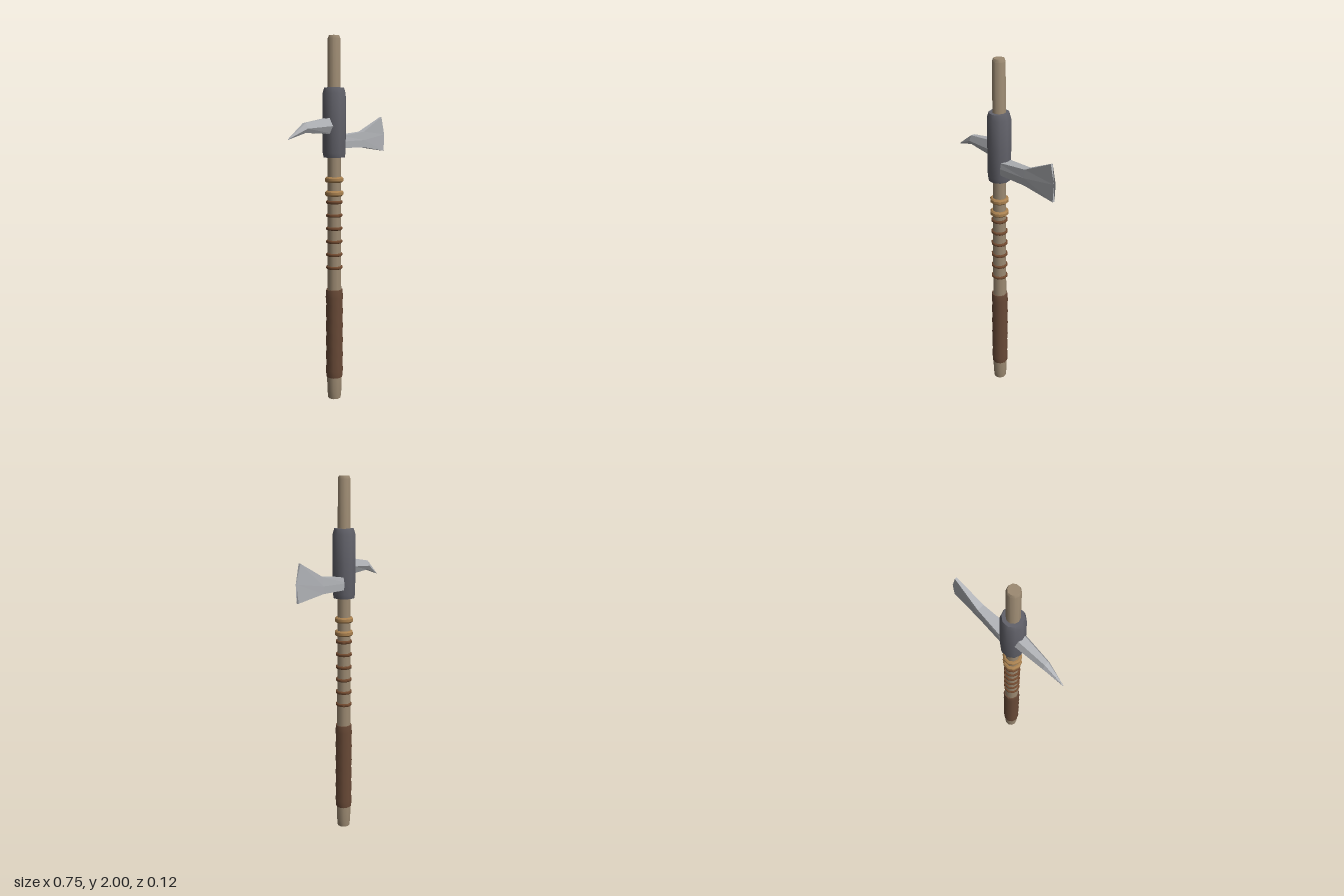
import * as THREE from 'three';
import { toCreasedNormals } from 'three/addons/utils/BufferGeometryUtils.js';

const AXIS_X = -0.04;
const mat = (color, flatShading = false) => new THREE.MeshStandardMaterial({ color, flatShading });
const wood = mat(0x9c8a72);
const leather = mat(0x694a37);
const cord = mat(0x70492f);
const brass = mat(0xa98150);
const iron = mat(0x62626a);
const steel = mat(0xb0b2b6, true);

// Ten-sided turned part around the shaft axis, profile as [radius, height] from bottom to top
function turned(name, profile, material) {
  const geo = new THREE.LatheGeometry(profile.map(([r, y]) => new THREE.Vector2(r, y)), 10);
  geo.rotateY(Math.PI / 2);
  const mesh = new THREE.Mesh(toCreasedNormals(geo, 0.7), material);
  mesh.name = name;
  mesh.position.x = AXIS_X;
  return mesh;
}

// Closed loft through rings of [x, y, z] corners, advancing towards +x
function loft(name, rings, material) {
  const n = rings[0].length;
  const last = (rings.length - 1) * n;
  const index = [];
  for (let s = 0; s < rings.length - 1; s++) {
    for (let i = 0; i < n; i++) {
      const a = s * n + i, b = s * n + (i + 1) % n;
      index.push(a, b, b + n, a, b + n, a + n);
    }
  }
  for (let i = 1; i < n - 1; i++) {
    index.push(0, i + 1, i, last, last + i, last + i + 1);
  }
  const geo = new THREE.BufferGeometry();
  geo.setAttribute('position', new THREE.Float32BufferAttribute(rings.flat(2), 3));
  geo.setIndex(index);
  geo.computeVertexNormals();
  const mesh = new THREE.Mesh(geo, material);
  mesh.name = name;
  return mesh;
}

// Six-cornered ring mirrored in z; top, middle and bottom each as [x, y, half thickness]
const ring = (t, m, b) => [
  [t[0], t[1], -t[2]], [t[0], t[1], t[2]], [m[0], m[1], m[2]],
  [b[0], b[1], b[2]], [b[0], b[1], -b[2]], [m[0], m[1], -m[2]],
];

export function createModel() {
  const group = new THREE.Group();
  group.name = 'battleAxe';

  // Tapered wooden shaft
  group.add(turned('shaft', [
    [0, 0], [0.036, 0], [0.041, 0.05], [0.042, 0.12], [0.039, 0.65],
    [0.036, 1.36], [0.034, 1.985], [0.028, 2], [0, 2],
  ], wood));

  // Leather grip with gentle wrapping bulges
  const grip = [[0.038, 0.125]];
  const steps = 12;
  for (let i = 0; i <= steps; i++) {
    grip.push([i % 2 ? 0.049 : 0.0455, 0.125 + 0.505 * i / steps]);
  }
  grip.push([0.038, 0.63]);
  group.add(turned('grip', grip, leather));

  // Cord and brass bands round the shaft
  const band = (name, y, r, h, material) => turned(name, [
    [0.034, y - h / 2], [r - h * 0.25, y - h / 2], [r, y - h / 4],
    [r, y + h / 4], [r - h * 0.25, y + h / 2], [0.034, y + h / 2],
  ], material);
  for (let i = 0; i < 6; i++) group.add(band('cordBand', 0.755 + i * 0.0725, 0.046, 0.017, cord));
  for (const y of [1.165, 1.24]) group.add(band('brassBand', y, 0.051, 0.03, brass));

  // Iron collar holding the head
  group.add(turned('collar', [
    [0.034, 1.36], [0.058, 1.36], [0.063, 1.385], [0.064, 1.55],
    [0.063, 1.7], [0.054, 1.73], [0.034, 1.73],
  ], iron));

  // Flaring axe blade
  group.add(loft('blade', [
    ring([-0.02, 1.475, 0.036], [-0.02, 1.445, 0.04], [-0.02, 1.41, 0.039]),
    ring([0.18, 1.497, 0.02], [0.18, 1.45, 0.023], [0.18, 1.41, 0.022]),
    ring([0.348, 1.58, 0.006], [0.374, 1.48, 0.006], [0.37, 1.385, 0.006]),
  ], steel));

  // Drooping back spike
  group.add(loft('spike', [
    ring([-0.375, 1.462, 0.001], [-0.375, 1.46, 0.001], [-0.375, 1.458, 0.001]),
    ring([-0.26, 1.543, 0.012], [-0.26, 1.514, 0.024], [-0.26, 1.493, 0.012]),
    ring([-0.06, 1.575, 0.024], [-0.06, 1.53, 0.043], [-0.06, 1.485, 0.024]),
  ], steel));

  return group;
}
